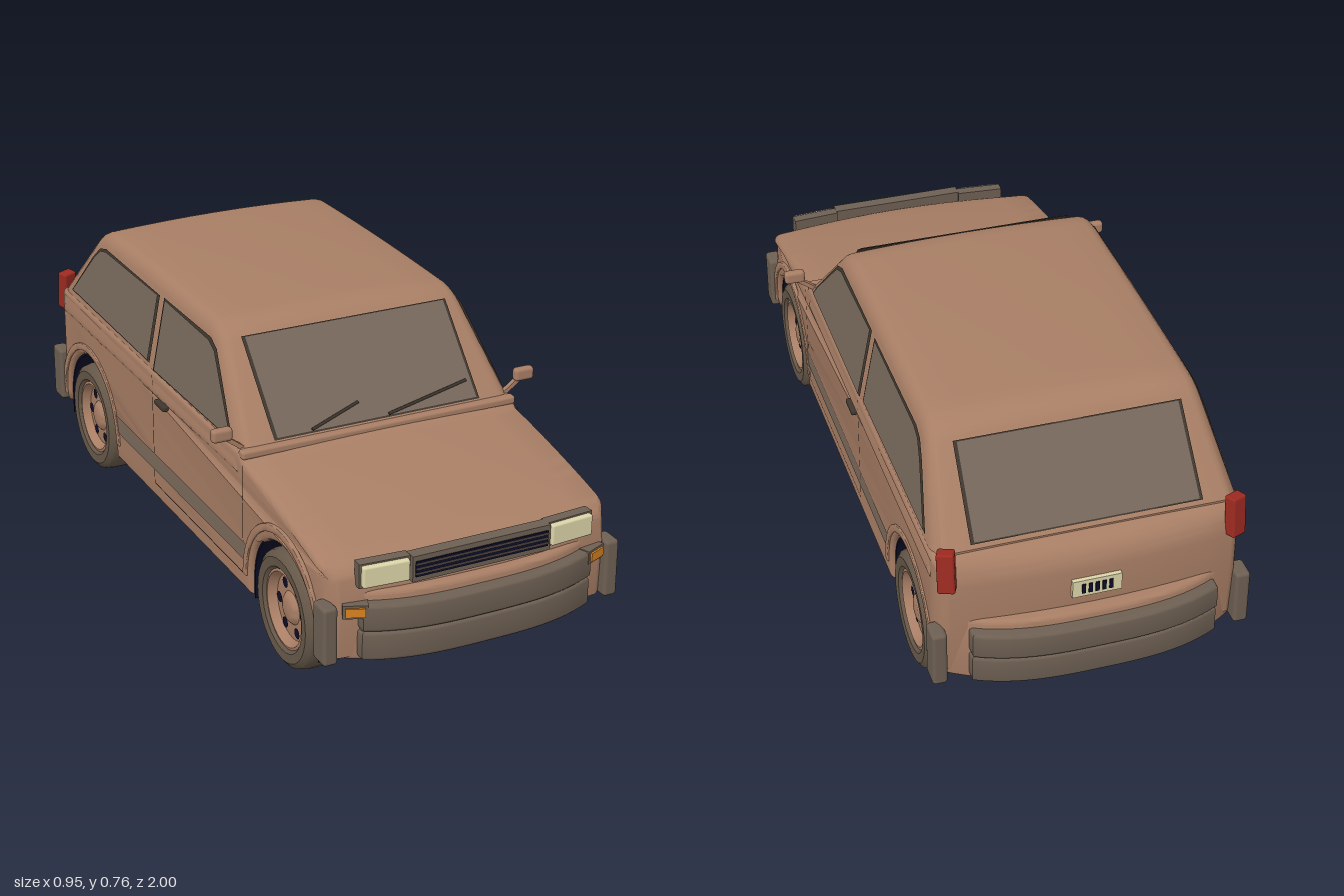
import * as THREE from 'three';
import { toCreasedNormals } from 'three/addons/utils/BufferGeometryUtils.js';
import { RoundedBoxGeometry } from 'three/addons/geometries/RoundedBoxGeometry.js';

const paint = (name, color, side = THREE.FrontSide) => {
  const m = new THREE.MeshStandardMaterial({ color, side });
  m.name = name;
  return m;
};

export function createModel() {
  const car = new THREE.Group();
  car.name = 'hatchbackCar';
  const two = THREE.DoubleSide;
  const M = {
    body: paint('bronzePaint', 0xa87e65),
    trim: paint('greyTrim', 0x6d5f52),
    stripe: paint('stripeGrey', 0x7c6a5c, two),
    glass: paint('windowGlass', 0x76675a, two),
    seal: paint('darkSeal', 0x3f372f, two),
    tyre: paint('tyreRubber', 0x655748),
    navy: paint('darkCavity', 0x0d0d28, two),
    lamp: paint('headlampCream', 0xdcd4a8),
    amber: paint('indicatorAmber', 0xd8821f),
    red: paint('tailLampRed', 0x9c2a20),
  };

  const add = (name, geo, mat, parent = car) => {
    const mesh = new THREE.Mesh(geo, mat);
    mesh.name = name;
    parent.add(mesh);
    return mesh;
  };
  const box = (name, mat, size, pos, round = 0, parent = car) => {
    const geo = round ? new RoundedBoxGeometry(...size, 2, round) : new THREE.BoxGeometry(...size);
    const mesh = add(name, geo, mat, parent);
    mesh.position.set(...pos);
    return mesh;
  };

  // Side profile (z, y) extruded across the car, then bent by a rule
  const across = (shape, half, bevel, steps, rule) => {
    const depth = 2 * (half - bevel);
    const geo = new THREE.ExtrudeGeometry(shape, {
      depth, steps, curveSegments: 16, bevelEnabled: bevel > 0, bevelSegments: 4,
      bevelThickness: bevel, bevelSize: bevel, bevelOffset: -bevel,
    });
    geo.translate(0, 0, -depth / 2).rotateY(-Math.PI / 2);
    if (rule) {
      const p = geo.attributes.position;
      const v = new THREE.Vector3();
      for (let i = 0; i < p.count; i++) {
        rule(v.fromBufferAttribute(p, i));
        p.setXYZ(i, v.x, v.y, v.z);
      }
    }
    return toCreasedNormals(geo, 0.6);
  };

  // Flat convex panel lifted off the surface
  const panel = (name, mat, pts, lift, grow = 0) => {
    const P = pts.map(p => new THREE.Vector3(...p));
    const c = P.reduce((s, p) => s.add(p), new THREE.Vector3()).divideScalar(P.length);
    const n = P[1].clone().sub(P[0]).cross(P[2].clone().sub(P[0])).normalize();
    if (n.dot(c.clone().sub(new THREE.Vector3(0, 0.5, 0))) < 0) { P.reverse(); n.negate(); }
    P.forEach(p => p.addScaledVector(p.clone().sub(c).normalize(), grow).addScaledVector(n, lift));
    const geo = new THREE.BufferGeometry().setFromPoints(P);
    const index = [];
    for (let i = 1; i < P.length - 1; i++) index.push(0, i, i + 1);
    geo.setIndex(index);
    geo.computeVertexNormals();
    return add(name, geo, mat);
  };
  const windowPane = (name, pts) => {
    panel(name + 'Seal', M.seal, pts, 0.003, 0.01);
    panel(name, M.glass, pts, 0.006);
  };

  // Lower body with wheel arches
  const AXLE = 0.655, HUB = 0.16, ARCH = 0.19;
  const low = new THREE.Shape();
  low.moveTo(-0.91, 0.15);
  low.lineTo(-0.935, 0.3);
  low.lineTo(-0.93, 0.42);
  low.quadraticCurveTo(-0.925, 0.49, -0.85, 0.505);
  low.lineTo(0.4, 0.5);
  low.lineTo(0.43, 0.485);
  low.quadraticCurveTo(0.65, 0.455, 0.84, 0.41);
  low.quadraticCurveTo(0.925, 0.39, 0.93, 0.36);
  low.lineTo(0.945, 0.3);
  low.lineTo(0.93, 0.14);
  low.lineTo(0.87, 0.13);
  low.absarc(AXLE, HUB, ARCH, 0, Math.PI, false);
  low.lineTo(AXLE - ARCH, 0.11);
  low.lineTo(-AXLE + ARCH, 0.11);
  low.absarc(-AXLE, HUB, ARCH, 0, Math.PI, false);
  low.lineTo(-0.87, 0.13);
  low.closePath();
  add('lowerBody', across(low, 0.407, 0.016, 10, v => {
    const t = THREE.MathUtils.smoothstep(Math.abs(v.z), 0.84, 0.95);
    v.z -= Math.sign(v.z) * 0.03 * t * (v.x / 0.4) ** 2;
    v.x *= 1 - 0.06 * t;
    if (v.y > 0.3 && v.z > 0.42) v.y -= 0.012 * (v.x / 0.4) ** 2;
  }), M.body);

  // Cabin with inward-leaning sides and crowned roof
  const sideX = y => 0.403 * (1 - 0.12 * (y - 0.49) / 0.25);
  const cabin = new THREE.Shape();
  cabin.moveTo(0.41, 0.42);
  cabin.lineTo(0.41, 0.495);
  cabin.lineTo(0.2, 0.722);
  cabin.quadraticCurveTo(0.165, 0.757, 0.1, 0.758);
  cabin.quadraticCurveTo(-0.25, 0.768, -0.6, 0.757);
  cabin.quadraticCurveTo(-0.66, 0.752, -0.69, 0.715);
  cabin.lineTo(-0.868, 0.505);
  cabin.lineTo(-0.868, 0.42);
  cabin.closePath();
  add('cabin', across(cabin, 0.403, 0.035, 8, v => {
    const t = Math.max(0, (v.y - 0.49) / 0.27);
    v.x *= sideX(v.y) / 0.403;
    v.y -= 0.012 * t * (v.x / 0.36) ** 2;
  }), M.body);
  box('cowl', M.body, [0.81, 0.024, 0.03], [0, 0.49, 0.41], 0.008);

  // Windows
  windowPane('windscreen', [[-0.295, 0.508, 0.398], [0.295, 0.508, 0.398], [0.295, 0.718, 0.204], [-0.295, 0.718, 0.204]]);
  windowPane('rearWindow', [[-0.295, 0.517, -0.858], [0.295, 0.517, -0.858], [0.29, 0.708, -0.696], [-0.29, 0.708, -0.696]]);
  const frontPane = [[0.345, 0.508], [0.32, 0.54], [0.18, 0.685], [0.14, 0.7], [-0.16, 0.705], [-0.16, 0.505]];
  const rearPane = [[-0.208, 0.515], [-0.208, 0.703], [-0.59, 0.7], [-0.63, 0.69], [-0.67, 0.655], [-0.785, 0.522]];

  // Wipers lying on the windscreen
  for (const [x0, x1] of [[-0.195, -0.045], [0.03, 0.28]]) {
    const a = new THREE.Vector3(x0, 0.516, 0.402), b = new THREE.Vector3(x1, 0.552, 0.369);
    const wiper = add('wiper', new THREE.CylinderGeometry(0.004, 0.004, a.distanceTo(b), 6), M.seal);
    wiper.position.copy(a).add(b).multiplyScalar(0.5);
    wiper.quaternion.setFromUnitVectors(new THREE.Vector3(0, 1, 0), b.sub(a).normalize());
  }

  // Curved bumper slab seen from above, for either end
  const bumper = (name, mat, half, peak, y0, y1, end) => {
    const s = new THREE.Shape();
    s.moveTo(-half, 0.865);
    for (let i = 0; i <= 24; i++) {
      const x = -half + 2 * half * i / 24;
      s.lineTo(x, Math.max(0.87, peak - 0.1 * Math.abs(x / 0.4) ** 3));
    }
    s.lineTo(half, 0.865);
    s.closePath();
    const geo = new THREE.ExtrudeGeometry(s, {
      depth: y1 - y0 - 0.02, bevelThickness: 0.01, bevelSize: 0.01, bevelOffset: -0.01, bevelSegments: 3,
    });
    geo.rotateX(Math.PI / 2).translate(0, y1 - 0.01, 0);
    if (end < 0) geo.rotateY(Math.PI);
    add(name, toCreasedNormals(geo, 0.6), mat);
  };
  for (const end of [1, -1]) {
    const side = end > 0 ? 'front' : 'rear';
    bumper(side + 'Apron', M.body, 0.393, 0.968, 0.13, 0.32, end);
    bumper(side + 'BumperLower', M.trim, 0.325, 0.995, 0.14, 0.22, end);
    bumper(side + 'BumperGroove', M.trim, 0.32, 0.985, 0.16, 0.28, end);
    bumper(side + 'BumperUpper', M.trim, 0.325, 1.0, 0.222, 0.297, end);
  }

  // Grille
  box('grilleFrame', M.trim, [0.39, 0.07, 0.035], [0, 0.37, 0.937]);
  box('grilleOpening', M.navy, [0.375, 0.042, 0.006], [0, 0.37, 0.955]);
  for (const y of [0.358, 0.371, 0.384]) box('grilleBar', M.trim, [0.375, 0.004, 0.008], [0, y, 0.957]);

  // Licence plate with plain bars
  box('numberPlate', M.lamp, [0.13, 0.05, 0.012], [0, 0.375, -0.937]);
  for (let i = 0; i < 5; i++) box('plateBar', M.navy, [0.01, 0.028, 0.004], [-0.036 + i * 0.018, 0.375, -0.944]);

  // Half ring following a wheel arch
  const archRing = (z, inner, outer, foot) => {
    const s = new THREE.Shape();
    s.moveTo(z + outer, foot);
    s.absarc(z, HUB, outer, 0, Math.PI, false);
    s.lineTo(z - outer, foot);
    s.lineTo(z - inner, foot);
    if (inner) s.absarc(z, HUB, inner, Math.PI, 0, true);
    s.lineTo(z + inner, foot);
    s.closePath();
    return s;
  };

  // Tyre and rim profiles (radius, axial)
  const lathe = pts => toCreasedNormals(
    new THREE.LatheGeometry(pts.map(p => new THREE.Vector2(...p)), 32).rotateZ(-Math.PI / 2), 0.7);
  const tyreGeo = lathe([[0.1, -0.055], [0.115, -0.064], [0.14, -0.066], [0.155, -0.055], [0.16, -0.035],
    [0.16, 0.035], [0.155, 0.055], [0.14, 0.066], [0.115, 0.064], [0.106, 0.055]]);
  const rimGeo = lathe([[0.108, 0.056], [0.1, 0.058], [0.088, 0.034], [0.045, 0.036], [0.036, 0.046], [0.026, 0.05], [0, 0.05]]);

  for (const s of [1, -1]) {
    const skin = (pts, x) => pts.map(([z, y]) => [s * (x ?? sideX(y)), y, z]);
    windowPane('doorWindow', skin(frontPane));
    windowPane('quarterWindow', skin(rearPane));
    const strip = (name, mat, z0, z1, y0, y1) =>
      panel(name, mat, skin([[z0, y0], [z1, y0], [z1, y1], [z0, y1]], 0.407), 0.002);
    strip('sideStripe', M.stripe, -0.45, 0.45, 0.2, 0.252);
    strip('doorSeamFront', M.seal, 0.428, 0.431, 0.16, 0.47);
    strip('doorSeamRear', M.seal, -0.166, -0.163, 0.16, 0.49);
    strip('sillSeam', M.seal, -0.163, 0.428, 0.158, 0.161);
    box('doorHandle', M.seal, [0.018, 0.016, 0.065], [s * 0.41, 0.424, -0.1], 0.005);

    // Door mirror
    box('mirror', M.body, [0.058, 0.037, 0.026], [s * 0.447, 0.547, 0.388], 0.01);
    const stalk = box('mirrorStalk', M.body, [0.06, 0.012, 0.014], [s * 0.412, 0.517, 0.385]);
    stalk.rotation.z = s * 0.65;

    // Lamps and bumper corners
    const lamp = box('headlamp', M.lamp, [0.125, 0.058, 0.04], [s * 0.262, 0.371, 0.931], 0.006);
    lamp.rotation.y = s * 0.08;
    const bezel = box('headlampBezel', M.trim, [0.135, 0.066, 0.03], [s * 0.262, 0.371, 0.922]);
    bezel.rotation.y = s * 0.08;
    box('indicatorBezel', M.trim, [0.064, 0.036, 0.04], [s * 0.336, 0.281, 0.922]).rotation.y = s * 0.4;
    box('indicator', M.amber, [0.05, 0.024, 0.04], [s * 0.338, 0.281, 0.927]).rotation.y = s * 0.4;
    const tail = box('tailLamp', M.red, [0.045, 0.115, 0.035], [s * 0.378, 0.48, -0.9], 0.006);
    tail.rotation.set(0.1, s * -0.4, 0);
    for (const end of [1, -1])
      box('bumperCorner', M.trim, [0.04, 0.16, 0.065], [s * 0.403, 0.218, end * 0.895], 0.01);

    for (const z of [AXLE, -AXLE]) {
      // Arch lining, inner wall and lip
      const liner = add('archLiner', across(archRing(z, 0.183, 0.189, 0.1), 0.097, 0, 1), M.navy);
      liner.position.x = s * 0.297;
      const wall = add('archInnerWall', new THREE.ShapeGeometry(archRing(z, 0, 0.186, 0.1)).rotateY(-Math.PI / 2), M.navy);
      wall.position.x = s * 0.203;
      const lip = add('archLip', across(archRing(z, 0.205, 0.226, 0.16), 0.006, 0.003, 1), M.body);
      lip.position.x = s * 0.406;

      // Wheel
      const wheel = new THREE.Group();
      wheel.name = 'wheel';
      wheel.position.set(s * 0.342, HUB, z);
      if (s < 0) wheel.rotation.y = Math.PI;
      car.add(wheel);
      add('tyre', tyreGeo, M.tyre, wheel);
      add('rim', rimGeo, M.body, wheel);
      add('wheelBack', new THREE.CylinderGeometry(0.104, 0.104, 0.05, 24).rotateZ(Math.PI / 2), M.tyre, wheel).position.x = -0.02;
      for (let i = 0; i < 6; i++) {
        const a = i * Math.PI / 3;
        const hole = add('rimHole', new THREE.CircleGeometry(0.015, 12).rotateY(Math.PI / 2), M.navy, wheel);
        hole.position.set(0.038, 0.067 * Math.sin(a), 0.067 * Math.cos(a));
      }
    }
  }

  // Underbody between the wheel wells
  for (const z of [AXLE, -AXLE]) box('underbodyBox', M.body, [0.4, 0.23, 0.372], [0, 0.215, z]);
  return car;
}
